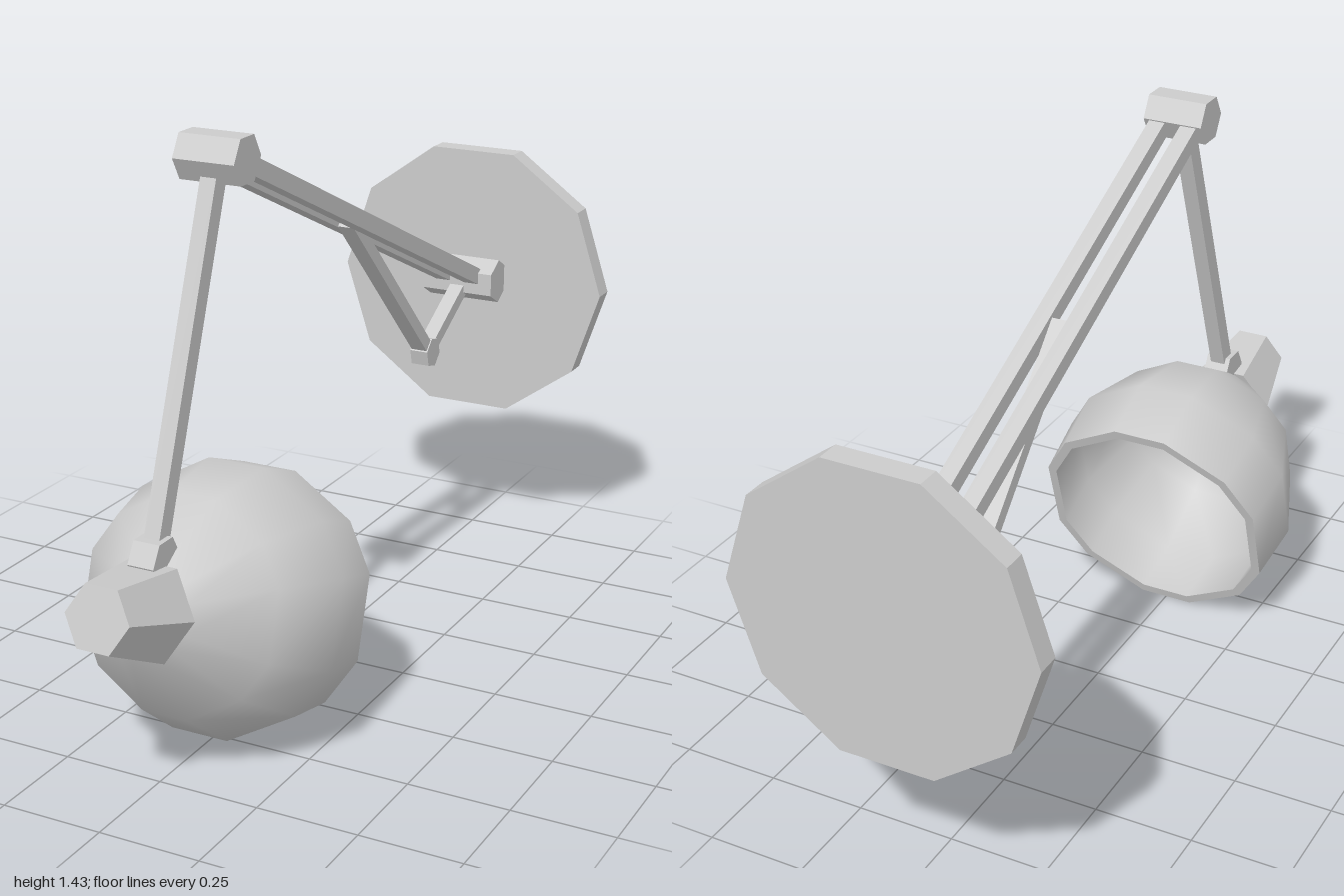
import * as THREE from 'three';

const material = new THREE.MeshStandardMaterial({ color: 0xcccccc, flatShading: true });
const smooth = new THREE.MeshStandardMaterial({ color: 0xcccccc });
const rad = THREE.MathUtils.degToRad;

export function createModel() {
  const lamp = new THREE.Group();
  lamp.name = 'wallLamp';

  const add = (parent, name, geometry, mat = material) => {
    const mesh = new THREE.Mesh(geometry, mat);
    mesh.name = name;
    parent.add(mesh);
    return mesh;
  };

  // Six-sided hinge pin lying along x
  const hinge = (name, y, z, radius, width, turn = 0) => {
    const mesh = add(lamp, name, new THREE.CylinderGeometry(radius, radius, width, 6, 1, false, rad(turn)));
    mesh.rotation.z = Math.PI / 2;
    mesh.position.set(0, y, z);
  };

  // Square bar between two [y, z] points
  const bar = (name, x, [y0, z0], [y1, z1], width, depth) => {
    const length = Math.hypot(y1 - y0, z1 - z0);
    const mesh = add(lamp, name, new THREE.BoxGeometry(width, length, depth));
    mesh.position.set(x, (y0 + y1) / 2, (z0 + z1) / 2);
    mesh.rotation.x = Math.atan2(z1 - z0, y1 - y0);
  };

  // Ten-sided wall plate
  const plate = add(lamp, 'wallPlate', new THREE.CylinderGeometry(0.385, 0.385, 0.06, 10, 1, false, rad(18)));
  plate.rotation.x = Math.PI / 2;
  plate.position.set(0, 0.755, -0.97);

  // Hinges
  const base = [0.772, -0.9], elbow = [1.385, 0.455], knee = [0.627, -0.645], neck = [0.552, 0.752];
  hinge('baseHinge', ...base, 0.06, 0.204, 30);
  hinge('elbowHinge', ...elbow, 0.06, 0.154);
  hinge('strutHinge', ...knee, 0.042, 0.05, 15);
  hinge('neckHinge', ...neck, 0.055, 0.066);

  // Arms and brace
  for (const side of [-1, 1]) {
    bar(side > 0 ? 'leftUpperArm' : 'rightUpperArm', side * 0.042, [0.785, -0.87], elbow, 0.042, 0.042);
  }
  bar('lowerArm', 0, elbow, neck, 0.04, 0.045);
  bar('braceLower', 0, base, knee, 0.04, 0.034);
  bar('braceUpper', 0, knee, [1.095, -0.178], 0.044, 0.034);

  // Lamp head, built along local y from the opening to the cap
  const head = new THREE.Group();
  head.name = 'lampHead';
  head.position.set(0, 0.2975, 0.32);
  head.rotation.x = rad(72.9);
  lamp.add(head);

  // Twelve-sided shade with slightly uneven facets
  const half = [12.9, 46.7, 70.9, 109.1, 133.3, 167.1];
  const angles = [...half, ...half.map(a => a + 180), half[0] + 360].map(rad);
  const shell = (name, profile) => {
    const geometry = new THREE.LatheGeometry(profile.map(p => new THREE.Vector2(...p)), 12);
    const pos = geometry.attributes.position, normal = geometry.attributes.normal;
    for (let i = 0; i < pos.count; i++) {
      const ring = Math.floor(i / profile.length);
      const a = angles[ring], r = profile[i % profile.length][0];
      pos.setX(i, r * Math.sin(a));
      pos.setZ(i, r * Math.cos(a));
      const n = Math.hypot(normal.getX(i), normal.getZ(i));
      const s = Math.sign(normal.getX(i) * Math.sin(a) + normal.getZ(i) * Math.cos(a));
      normal.setX(i, s * n * Math.sin(a));
      normal.setZ(i, s * n * Math.cos(a));
    }
    add(head, name, geometry, smooth);
  };
  shell('shadeOuter', [[0.315, 0], [0.328, 0.167], [0.257, 0.348], [0.105, 0.49]]);
  shell('shadeRim', [[0.291, 0], [0.315, 0]]);
  shell('shadeInner', [[0, 0.462], [0.095, 0.462], [0.239, 0.332], [0.305, 0.163], [0.291, 0]]);

  // Tapered six-sided cap behind the shade
  const cap = add(head, 'shadeCap', new THREE.CylinderGeometry(0.081, 0.122, 0.204, 6, 1, false, rad(30)));
  cap.position.y = 0.589;

  return lamp;
}
